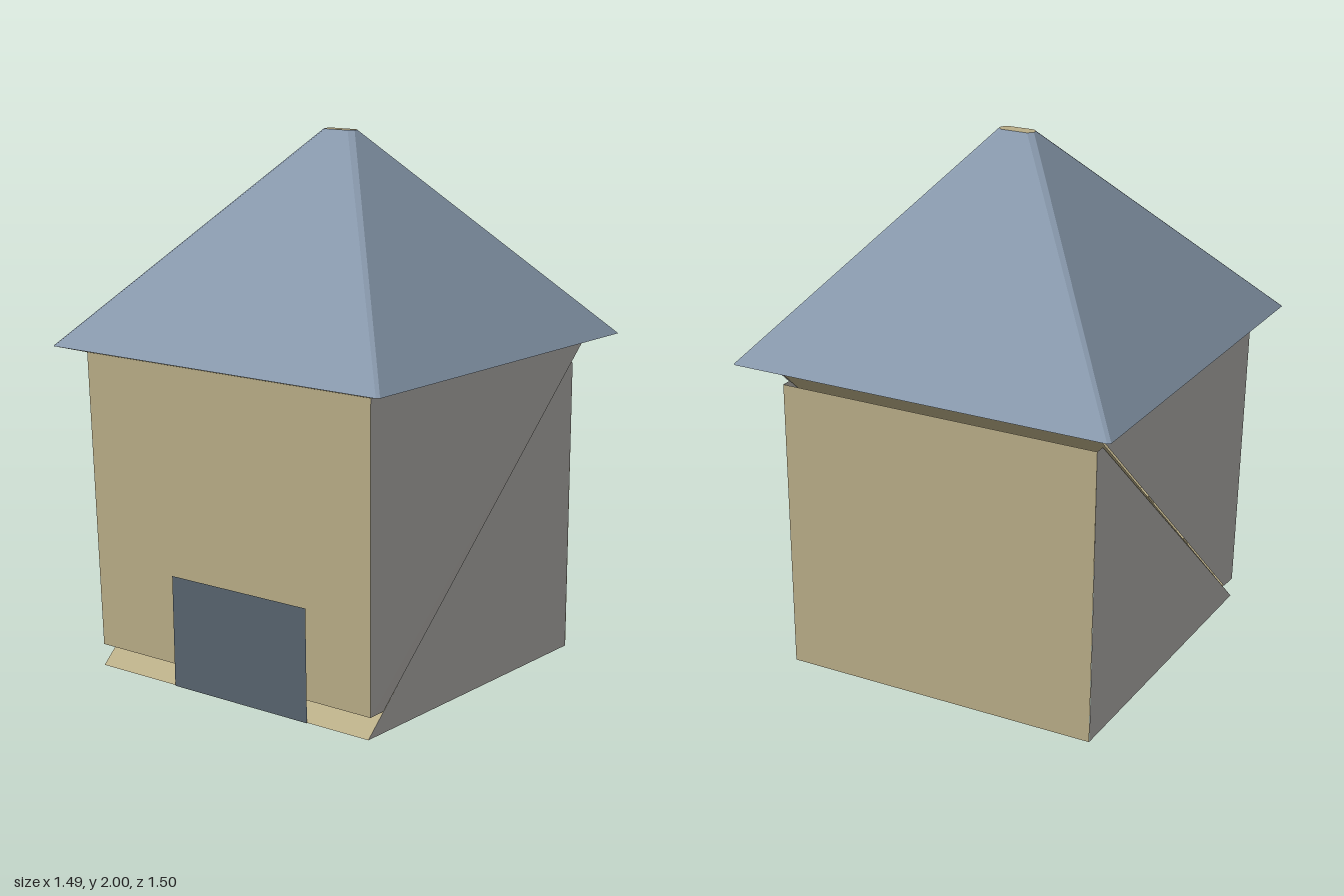
import * as THREE from 'three';

const mat = (color) => new THREE.MeshStandardMaterial({ color, flatShading: true, side: THREE.DoubleSide });
const plaster = mat(0xb9ad87), stone = mat(0xb4b2ae), slate = mat(0x8798ab), dark = mat(0x58646e);

// Flat panel: convex polygon, corners anticlockwise from outside
function panel(name, material, points) {
  const pos = [];
  for (let i = 1; i < points.length - 1; i++) pos.push(...points[0], ...points[i], ...points[i + 1]);
  const geo = new THREE.BufferGeometry();
  geo.setAttribute('position', new THREE.Float32BufferAttribute(pos, 3));
  geo.computeVertexNormals();
  const mesh = new THREE.Mesh(geo, material);
  mesh.name = name;
  return mesh;
}

// Band of quads between two rings with the same number of points
function band(name, material, low, high) {
  const group = new THREE.Group();
  group.name = name;
  low.forEach((p, i) => {
    const j = (i + 1) % low.length;
    group.add(panel(name + 'Face', material, [p, low[j], high[j], high[i]]));
  });
  return group;
}

// Rectangle with chamfered corners, anticlockwise seen so that faces point outwards
function ring(y, x, zBack, zFront, c) {
  return [
    [-x + c, y, zFront], [x - c, y, zFront], [x, y, zFront - c], [x, y, zBack + c],
    [x - c, y, zBack], [-x + c, y, zBack], [-x, y, zBack + c], [-x, y, zFront - c],
  ];
}

export function createModel() {
  const model = new THREE.Group();
  model.name = 'hut';

  // Front wall, leaning slightly outwards
  model.add(panel('frontWall', plaster, [
    [-0.63, 0.08, 0.635], [0.63, 0.08, 0.635], [0.65, 1.2, 0.665], [-0.65, 1.2, 0.665]]));
  model.add(panel('frontSill', plaster, [
    [-0.62, 0.08, 0.5], [0.62, 0.08, 0.5], [0.63, 0.08, 0.635], [-0.63, 0.08, 0.635]]));

  // Back wall
  model.add(panel('backWall', plaster, [
    [0.62, 0, -0.622], [-0.62, 0, -0.622], [-0.63, 1.12, -0.612], [0.63, 1.12, -0.612]]));

  // Sloping inner panel from the front foot to the back eave
  model.add(panel('innerSlope', plaster, [
    [-0.625, 0, 0.64], [-0.64, 1.2, -0.65], [0.64, 1.2, -0.65], [0.625, 0, 0.64]]));

  // Side walls, each split along the diagonal
  for (const s of [1, -1]) {
    const order = (pts) => (s > 0 ? pts : pts.reverse());
    model.add(panel('upperSideWall', stone, order([
      [s * 0.63, 0.08, 0.635], [s * 0.628, 0.08, 0.56], [s * 0.65, 1.2, -0.65], [s * 0.65, 1.2, 0.665]])));
    model.add(panel('lowerSideWall', stone, order([
      [s * 0.625, 0, 0.64], [s * 0.62, 0, -0.62], [s * 0.63, 1.12, -0.612], [s * 0.63, 1.12, -0.57]])));
  }

  // Door
  model.add(panel('door', dark, [
    [-0.26, 0, 0.645], [0.36, 0, 0.645], [0.36, 0.42, 0.652], [-0.26, 0.42, 0.652]]));

  // Roof with narrow hips, a soffit and a small flat cap
  const wallTop = ring(1.2, 0.65, -0.655, 0.665, 0.01);
  const eave = ring(1.225, 0.745, -0.755, 0.75, 0.01);
  const peak = ring(2, 0.07, -0.03, 0.022, 0.018);
  model.add(band('soffit', plaster, wallTop, eave));
  model.add(band('roof', slate, eave, peak));
  model.add(panel('roofCap', plaster, peak));

  // Inner posts with dark feet
  for (const [x, z] of [[-0.57, 0.2], [-0.58, -0.145]]) {
    const top = 0.93 * (0.64 - z) + 0.04;
    const post = new THREE.Mesh(new THREE.CylinderGeometry(0.045, 0.045, top - 0.11, 6), plaster);
    post.position.set(x, (top + 0.11) / 2, z);
    post.name = 'innerPost';
    const foot = new THREE.Mesh(new THREE.CylinderGeometry(0.047, 0.047, 0.025, 6), dark);
    foot.position.set(x, 0.1, z);
    foot.name = 'postFoot';
    model.add(post, foot);
  }
  return model;
}
